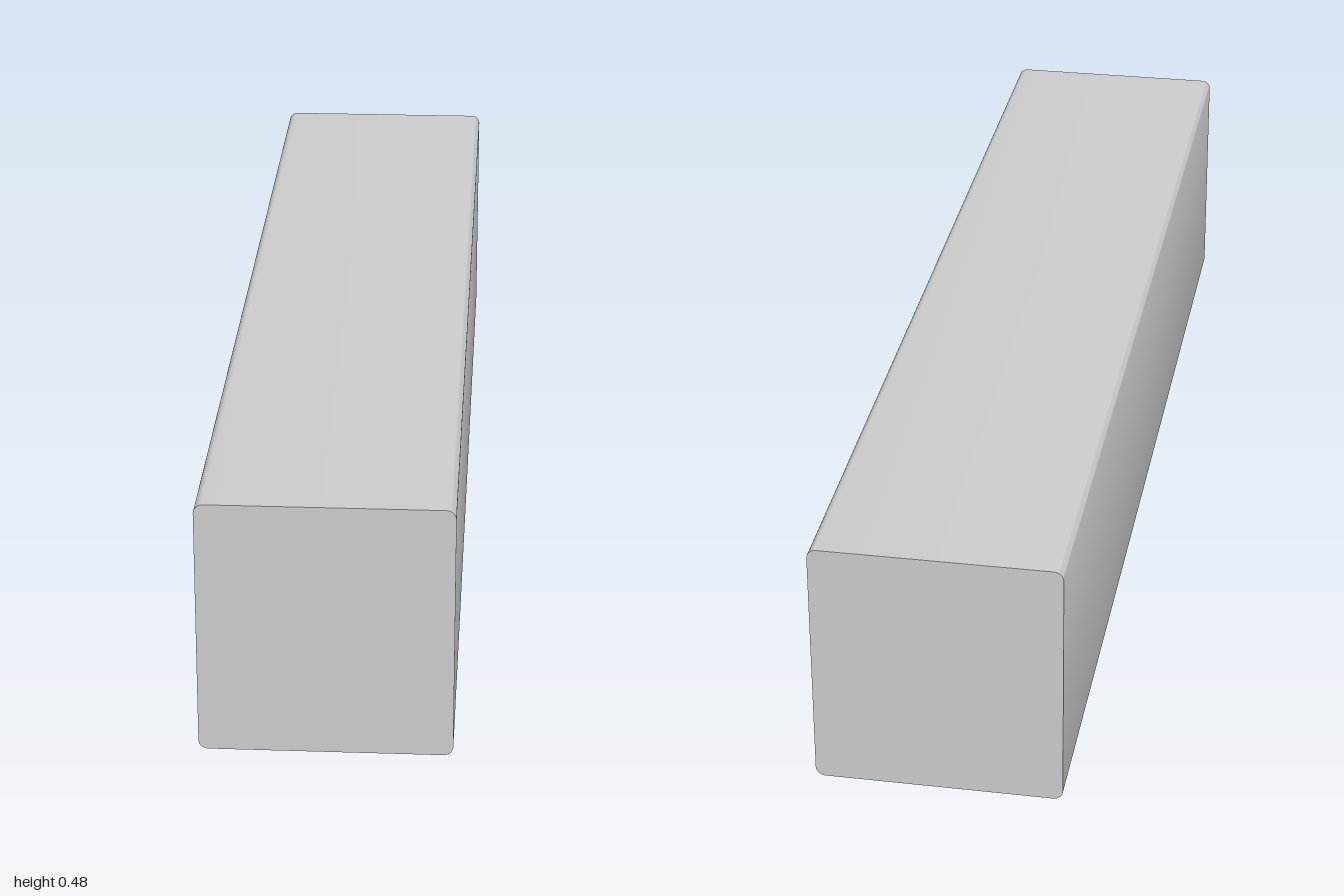
import * as THREE from 'three';
import { toCreasedNormals } from 'three/addons/utils/BufferGeometryUtils.js';

const material = new THREE.MeshStandardMaterial({ color: 0xcccccc });
const BASE = 0.039; // underside of the body
const CX = -0.127; // centre line of the connectors

function rounded(path, w, h, r) {
  const x = w / 2, y = h / 2;
  path.absarc(x - r, y - r, r, 0, Math.PI / 2);
  path.absarc(-x + r, y - r, r, Math.PI / 2, Math.PI);
  path.absarc(-x + r, -y + r, r, Math.PI, Math.PI * 1.5);
  path.absarc(x - r, -y + r, r, Math.PI * 1.5, Math.PI * 2);
  path.closePath();
  return path;
}

function extrude(shape, depth) {
  const geo = new THREE.ExtrudeGeometry(shape, { depth, bevelEnabled: false, curveSegments: 8 });
  return toCreasedNormals(geo, 0.5);
}

export function createModel() {
  const model = new THREE.Group();
  const add = (name, geo, x, y, z, parent = model) => {
    const mesh = new THREE.Mesh(geo, material);
    mesh.name = name;
    mesh.position.set(x, y, z);
    parent.add(mesh);
    return mesh;
  };
  const box = (name, w, h, d, x, y, z, parent) =>
    add(name, new THREE.BoxGeometry(w, h, d), x, y, z, parent);

  // Hollow port shell hanging below the body
  const port = (name, w, len, drop, z, wall = 0.003) => {
    const shape = rounded(new THREE.Shape(), w, len, 0.004);
    shape.holes.push(rounded(new THREE.Path(), w - 2 * wall, len - 2 * wall, 0.002));
    const mesh = add(name, extrude(shape, drop), CX, BASE, z);
    mesh.rotation.x = Math.PI / 2;
    return mesh;
  };

  // Main housing, rounded along its length only
  add('housing', extrude(rounded(new THREE.Shape(), 0.416, 0.441, 0.016), 2), 0, 0.2595, -1);

  // Connector plate on the underside with a fine raised rim
  box('connectorPlate', 0.106, 0.001, 0.556, -0.131, BASE, -0.68);
  const rim = rounded(new THREE.Shape(), 0.11, 0.56, 0.004);
  rim.holes.push(rounded(new THREE.Path(), 0.105, 0.555, 0.002));
  add('plateRim', extrude(rim, 0.0012), -0.131, BASE, -0.68).rotation.x = Math.PI / 2;

  // Terminal block: socket and plug with four wire entries
  const terminal = new THREE.Group();
  terminal.name = 'terminalBlock';
  model.add(terminal);
  box('terminalSocket', 0.047, 0.013, 0.028, CX, 0.0335, -0.462, terminal);
  box('terminalPlug', 0.047, 0.021, 0.02, CX, 0.0175, -0.464, terminal);
  box('terminalFoot', 0.047, 0.007, 0.012, CX, 0.0035, -0.47, terminal);
  for (let i = 0; i < 4; i++) {
    const x = CX + (i - 1.5) * 0.011;
    add('wireEntry', new THREE.TorusGeometry(0.0042, 0.0008, 6, 16), x, 0.018, -0.454, terminal);
    box('wireClamp', 0.007, 0.003, 0.002, x, 0.0255, -0.454, terminal);
  }

  // Row of shallow ports
  port('smallPort', 0.03, 0.022, 0.004, -0.525);
  port('longPort', 0.036, 0.13, 0.005, -0.61);
  box('longPortTongue', 0.012, 0.004, 0.11, CX, BASE - 0.002, -0.61);
  for (const z of [-0.705, -0.76]) {
    port('squarePort', 0.042, 0.044, 0.005, z);
    box('portTongue', 0.014, 0.004, 0.032, CX, BASE - 0.002, z);
  }

  // Switch next to the power inlet
  port('switchFrame', 0.03, 0.05, 0.006, -0.842);
  box('switchRocker', 0.018, 0.014, 0.035, CX, BASE - 0.007, -0.845);

  // Round power inlet: flange, hollow barrel and pin
  const profile = [[0.037, 0.039], [0.037, 0.033], [0.026, 0.033], [0.026, 0.014],
    [0.024, 0.012], [0.018, 0.012], [0.018, 0.037], [0, 0.037]]
    .map(([r, y]) => new THREE.Vector2(r, y)).reverse();
  const inlet = new THREE.LatheGeometry(profile, 32);
  const mesh = add('powerInlet', toCreasedNormals(inlet, 0.5), CX, 0, -0.912);
  mesh.material = material.clone();
  mesh.material.side = THREE.DoubleSide;
  add('powerPin', new THREE.CylinderGeometry(0.006, 0.006, 0.02, 16), CX, 0.028, -0.912);
  // Side tabs of the inlet
  for (const s of [-1, 1]) box('inletTab', 0.014, 0.027, 0.02, CX + s * 0.03, 0.0255, -0.912);

  return model;
}
